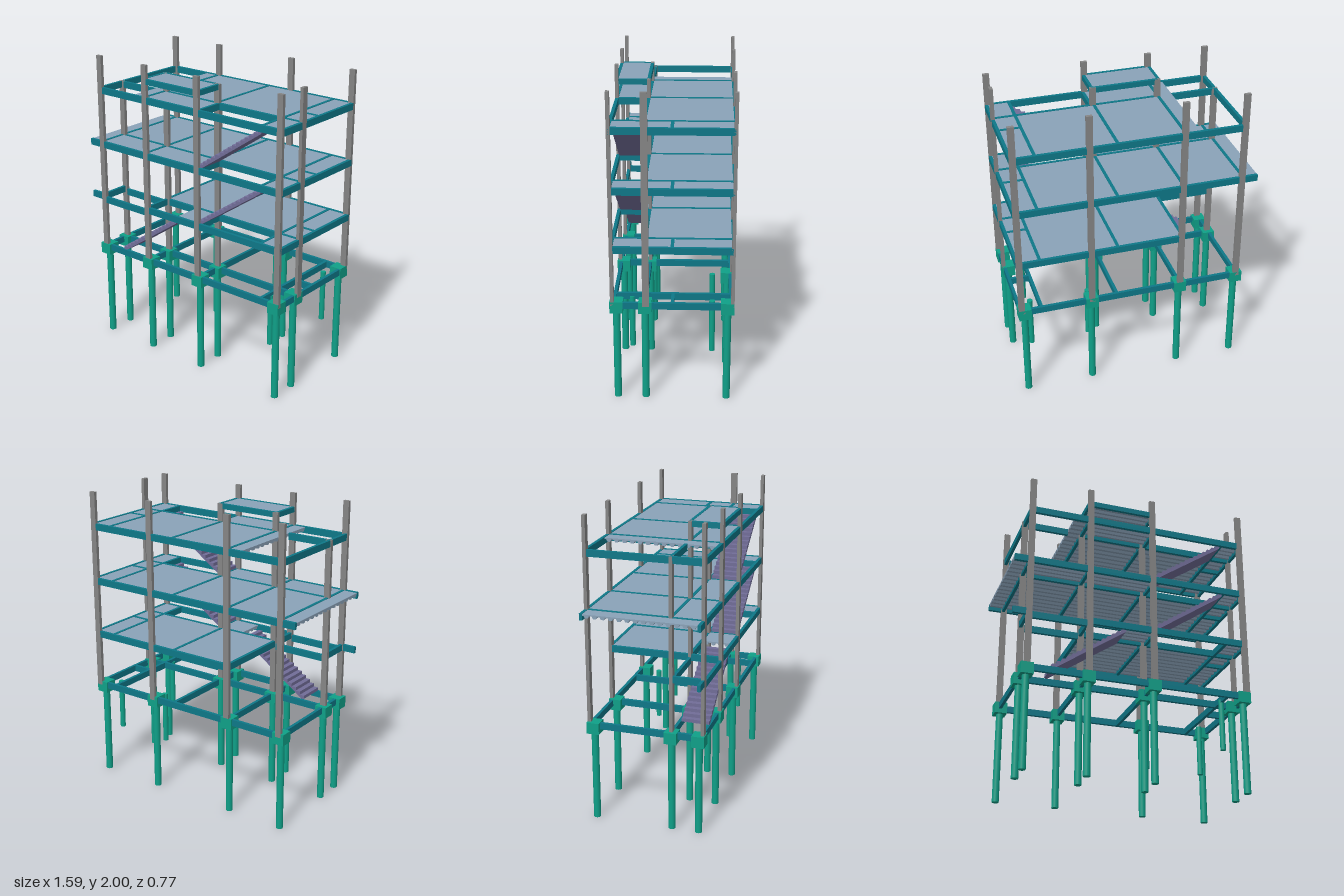
import * as THREE from 'three';

const mat = (color) => new THREE.MeshStandardMaterial({ color });
const MAT = {
  column: mat(0x858585), beam: mat(0x0e7888), pile: mat(0x0fa088),
  deck: mat(0x8aa2b8), stair: mat(0x716d98),
};

export function createModel() {
  const model = new THREE.Group();
  const section = (name) => {
    const g = new THREE.Group();
    g.name = name;
    model.add(g);
    return g;
  };
  const add = (parent, name, geometry, material) => {
    const m = new THREE.Mesh(geometry, material);
    m.name = name;
    parent.add(m);
    return m;
  };
  // Box given by its limits on each axis
  const box = (parent, name, material, x0, x1, y0, y1, z0, z1) =>
    add(parent, name, new THREE.BoxGeometry(x1 - x0, y1 - y0, z1 - z0), material)
      .position.set((x0 + x1) / 2, (y0 + y1) / 2, (z0 + z1) / 2);

  const B = 0.01;                       // half width of a beam
  const BACK = -0.37, MID = 0.168, FRONT = 0.37;
  const LEFT = 0.783, RIGHT = -0.7;

  // Beams along x and along z, given by their top height
  const beamX = (g, z, x0, x1, top, h = 0.043) =>
    box(g, 'beamAlongX', MAT.beam, x0, x1, top - h, top, z - B, z + B);
  const beamZ = (g, x, z0, z1, top, h = 0.043) =>
    box(g, 'beamAlongZ', MAT.beam, x - B, x + B, top - h, top, z0, z1);

  // Ribbed deck: trapezoid ribs along x under a flat top
  const deck = (g, x0, x1, z0, z1, top) => {
    const n = Math.max(1, Math.round((z1 - z0) / 0.05));
    const p = (z1 - z0) / n;
    const shape = new THREE.Shape();
    shape.moveTo(z0, 0);
    for (let i = 0; i < n; i++) {
      const z = z0 + i * p;
      shape.lineTo(z, -0.009);
      shape.lineTo(z + p * 0.2, -0.009);
      shape.lineTo(z + p * 0.35, -0.024);
      shape.lineTo(z + p * 0.7, -0.024);
      shape.lineTo(z + p * 0.85, -0.009);
    }
    shape.lineTo(z1, -0.009);
    shape.lineTo(z1, 0);
    const geo = new THREE.ExtrudeGeometry(shape, { depth: x1 - x0, bevelEnabled: false });
    geo.rotateY(-Math.PI / 2);          // shape x -> z, depth -> -x
    geo.translate(x1, top, 0);
    add(g, 'deckPanel', geo, MAT.deck);
  };

  // Columns: x, z, top
  const columns = section('columns');
  const column = (x, z, top = 2, w = 0.04, d = 0.022) =>
    box(columns, 'column', MAT.column, x - w / 2, x + w / 2, 0.65, top, z - d / 2, z + d / 2);
  for (const x of [-0.695, -0.3, 0.305, 0.773]) column(x, -0.37);
  for (const x of [-0.695, -0.298, 0.135, 0.773]) column(x, 0.37);
  column(-0.695, MID, 1.79);
  column(-0.298, MID, 1.91);
  column(0.135, MID, 1.91);
  column(0.783, 0.163, 2, 0.022, 0.042);

  // Piles with their caps
  const foundation = section('foundation');
  const pile = (x, z, y0, y1, r) =>
    add(foundation, 'pile', new THREE.CylinderGeometry(r, r, y1 - y0, 16), MAT.pile)
      .position.set(x, (y0 + y1) / 2, z);
  const cap = (x, z, s, y0) =>
    box(foundation, 'pileCap', MAT.pile, x - s, x + s, y0, 0.675, z - s, z + s);
  const pileRows = [
    [-0.34, [-0.695, -0.3, 0.305, 0.752]],
    [0.168, [-0.695, -0.3, 0.135, 0.752]],
    [0.345, [-0.695, -0.3, 0.135, 0.752]],
  ];
  for (const [z, xs] of pileRows) {
    for (const x of xs) {
      pile(x, z, 0, 0.61, 0.023);
      cap(x, z, 0.041, 0.6);
    }
  }
  // Short intermediate piles
  for (const [x, z] of [[0.305, -0.245], [0.64, 0.255], [0.695, -0.245]]) pile(x, z, 0.305, 0.65, 0.018);

  // Ground beams
  const ground = section('groundBeams');
  for (const z of [BACK + 0.01, MID, FRONT - 0.01]) beamX(ground, z, RIGHT, LEFT, 0.672);
  for (const x of [RIGHT, -0.3, 0.135, 0.64, LEFT - 0.005]) beamZ(ground, x, BACK, FRONT, 0.672);
  beamX(ground, 0, 0.64, LEFT, 0.672);

  // Beams shared by every floor
  const floorFrame = (g, top, xEnd) => {
    beamX(g, BACK, xEnd, LEFT, top);
    beamX(g, FRONT, xEnd, LEFT, top);
    beamX(g, MID, -0.3, LEFT, top);
    beamX(g, 0, 0.65, LEFT, top);
    for (const x of [-0.305, 0.64, LEFT]) beamZ(g, x, BACK, FRONT, top);
    beamZ(g, 0.128, BACK, MID, top);
    beamZ(g, 0.146, MID, FRONT, top);
  };
  // Deck bays between the beams; the stair bay stays open
  const floorDeck = (g, top, frontStart) => {
    const y = top - 0.003;
    deck(g, -0.295, 0.118, BACK + B, MID - B, y);
    deck(g, 0.138, 0.63, BACK + B, MID - B, y);
    deck(g, 0.65, LEFT - B, BACK + B, -B, y);
    deck(g, 0.65, LEFT - B, B, MID - B, y);
    deck(g, 0.65, LEFT - B, MID + B, FRONT - B, y);
    deck(g, frontStart, 0.136, MID + B, FRONT - B, y);
  };

  // First floor, with the lower beam beside the entry stair
  const first = section('firstFloor');
  floorFrame(first, 1.043, -0.315);
  floorDeck(first, 1.043, -0.04);
  beamX(first, FRONT, -0.69, -0.3, 1.024);
  beamX(first, MID, -0.69, -0.3, 1.024);
  beamX(first, FRONT, -0.8, -0.7, 1.043);
  beamZ(first, RIGHT, MID, FRONT, 1.043);

  // Second floor, reaching out past the end columns
  const second = section('secondFloor');
  floorFrame(second, 1.417, -0.8);
  floorDeck(second, 1.417, -0.295);
  beamX(second, MID, RIGHT, -0.3, 1.417);
  beamZ(second, RIGHT, BACK, FRONT, 1.417);
  deck(second, -0.69, -0.315, BACK + B, MID - B, 1.414);
  deck(second, -0.69, -0.315, MID + B, FRONT - B, 1.414);
  deck(second, -0.8, -0.71, BACK + B, FRONT - B, 1.414);

  // Third floor, with a short deck overhang and an open end bay
  const third = section('thirdFloor');
  floorFrame(third, 1.79, RIGHT);
  floorDeck(third, 1.79, -0.295);
  beamX(third, MID, RIGHT, -0.4, 1.79);
  beamZ(third, RIGHT, BACK, FRONT, 1.79);
  deck(third, -0.4, -0.315, BACK + B, FRONT - B, 1.787);

  // Small raised roof
  const roof = section('roof');
  for (const z of [MID, FRONT]) beamX(roof, z, -0.3, 0.145, 1.91, 0.035);
  for (const x of [-0.305, 0.14]) beamZ(roof, x, MID, FRONT, 1.91, 0.035);
  deck(roof, -0.295, 0.13, MID + B, FRONT - B, 1.908);

  // Stairs: stepped top, sloped underside
  const stairs = section('stairs');
  const stair = (x0, y0, rise) => {
    const n = 15, run = 0.49, dx = run / n, dy = rise / n;
    const shape = new THREE.Shape();
    shape.moveTo(x0, y0);
    for (let i = 0; i < n; i++) {
      shape.lineTo(x0 + i * dx, y0 + (i + 1) * dy);
      shape.lineTo(x0 + (i + 1) * dx, y0 + (i + 1) * dy);
    }
    shape.lineTo(x0 + run - 0.01, y0 + rise - 0.022);
    shape.lineTo(x0 + 0.015, y0 - 0.006);
    const geo = new THREE.ExtrudeGeometry(shape, { depth: 0.18, bevelEnabled: false });
    geo.translate(0, 0, 0.183);
    add(stairs, 'stairFlight', geo, MAT.stair);
  };
  stair(-0.535, 0.672, 0.335);
  stair(0.146, 1.043, 0.335);
  stair(0.146, 1.417, 0.335);

  return model;
}
